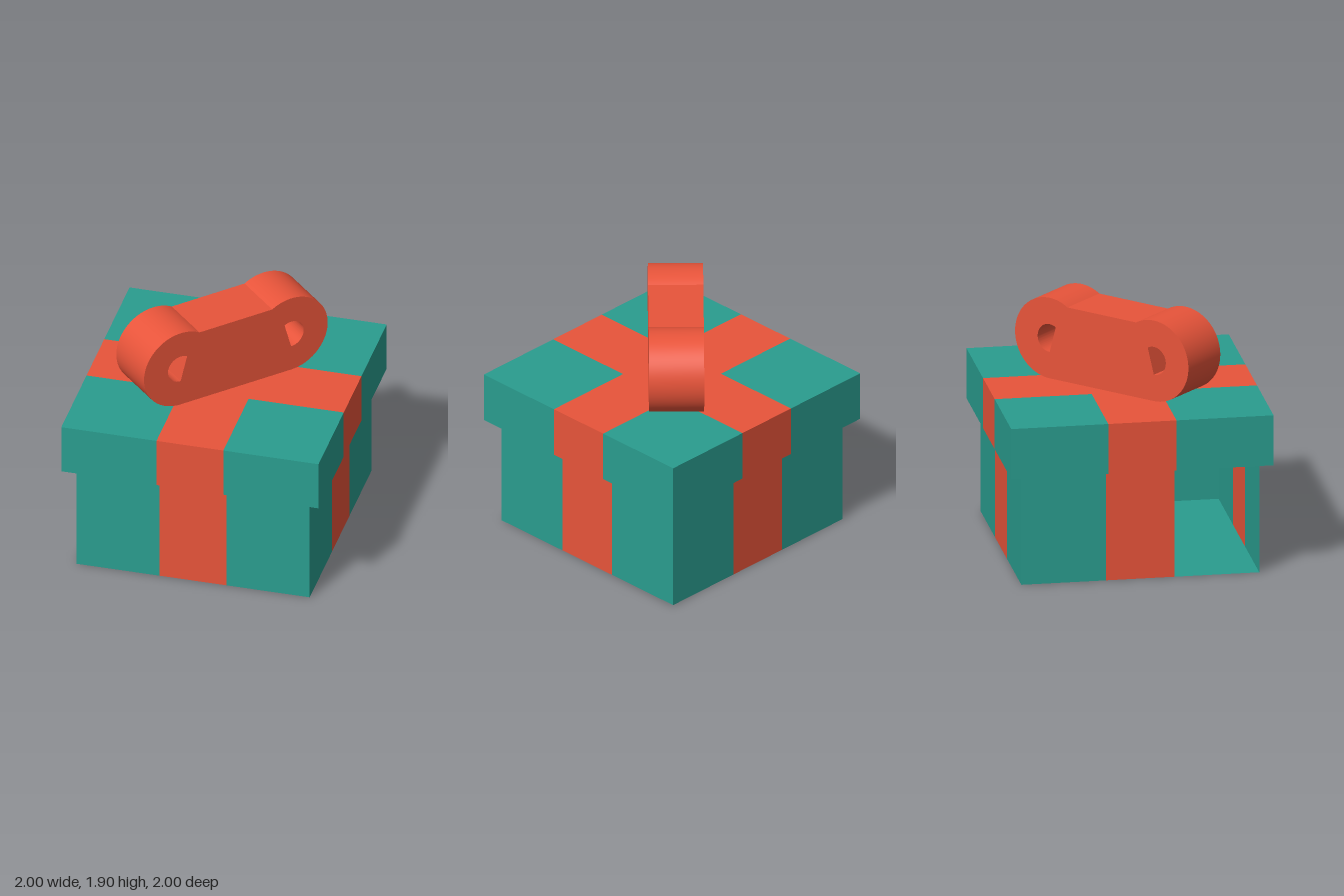
import * as THREE from 'three';
import { toCreasedNormals } from 'three/addons/utils/BufferGeometryUtils.js';

const TEAL = new THREE.MeshStandardMaterial({ color: 0x2a9d8f, side: THREE.DoubleSide });
const RED = new THREE.MeshStandardMaterial({ color: 0xe8543a, side: THREE.DoubleSide });
const RIBBON = 0.26; // half width of the flat ribbon
const RAD = Math.PI / 180;

function panel(name, material, x0, x1, y0, y1) {
  const mesh = new THREE.Mesh(new THREE.PlaneGeometry(x1 - x0, y1 - y0), material);
  mesh.name = name;
  mesh.position.set((x0 + x1) / 2, (y0 + y1) / 2, 0);
  return mesh;
}

// One wall: card, ribbon, card, lying in a plane at distance `half` and turned about y
function wall(name, half, y0, y1, angle, skipFirst = false, skipLast = false) {
  const group = new THREE.Group();
  group.name = name;
  if (!skipFirst) group.add(panel('wallCard', TEAL, -half, -RIBBON, y0, y1));
  group.add(panel('wallRibbon', RED, -RIBBON, RIBBON, y0, y1));
  if (!skipLast) group.add(panel('wallCard', TEAL, RIBBON, half, y0, y1));
  group.children.forEach((m) => { m.position.z = half; });
  group.rotation.y = angle;
  return group;
}

function flat(name, half, y) {
  const mesh = panel(name, TEAL, -half, half, -half, half);
  mesh.rotation.x = Math.PI / 2;
  mesh.position.y = y;
  return mesh;
}

// Box body: four walls and a floor, with one card open on the -x side
function body() {
  const group = new THREE.Group();
  group.name = 'boxBody';
  for (let i = 0; i < 4; i++) {
    group.add(wall('bodyWall', 0.907, 0, 0.87, i * Math.PI / 2, false, i === 3));
  }
  group.add(flat('floor', 0.907, 0));
  return group;
}

// Lid: walls, underside and a top crossed by the ribbon
function lid() {
  const group = new THREE.Group();
  group.name = 'lid';
  for (let i = 0; i < 4; i++) group.add(wall('lidWall', 1, 0.87, 1.265, i * Math.PI / 2));
  group.add(flat('lidUnderside', 1, 0.87));
  const top = new THREE.Group();
  top.name = 'lidTop';
  const cuts = [-1, -RIBBON, RIBBON, 1];
  for (let i = 0; i < 3; i++) {
    for (let j = 0; j < 3; j++) {
      const red = i === 1 || j === 1;
      top.add(panel(red ? 'topRibbon' : 'topCard', red ? RED : TEAL,
        cuts[i], cuts[i + 1], cuts[j], cuts[j + 1]));
    }
  }
  top.rotation.x = -Math.PI / 2;
  top.position.y = 1.265;
  group.add(top);
  return group;
}

// Bow: rounded two-lobed outline with a teardrop hole in each lobe
function bow() {
  const cx = 0.48, cy = 1.583, r = 0.318, hole = 0.11, depth = 0.415;
  const shape = new THREE.Shape();
  shape.moveTo(0, 1.665);
  shape.absarc(-cx, cy, r, 59 * RAD, 270 * RAD, false);
  shape.absarc(cx, cy, r, -90 * RAD, 121 * RAD, false);
  shape.closePath();
  for (const side of [-1, 1]) {
    const drop = new THREE.Path();
    drop.moveTo(side * 0.11, 1.485);
    if (side > 0) drop.absarc(cx, cy, hole, -90 * RAD, 121 * RAD, false);
    else drop.absarc(-cx, cy, hole, 270 * RAD, 59 * RAD, true);
    drop.closePath();
    shape.holes.push(drop);
  }
  const geometry = new THREE.ExtrudeGeometry(shape, { depth, bevelEnabled: false, curveSegments: 32 });
  geometry.translate(0, 0, -depth / 2 - 0.03);
  const mesh = new THREE.Mesh(toCreasedNormals(geometry, 0.5), RED);
  mesh.name = 'bow';
  mesh.rotation.y = Math.PI / 4;
  return mesh;
}

export function createModel() {
  const model = new THREE.Group();
  model.name = 'giftBox';
  model.add(body(), lid(), bow());
  return model;
}
